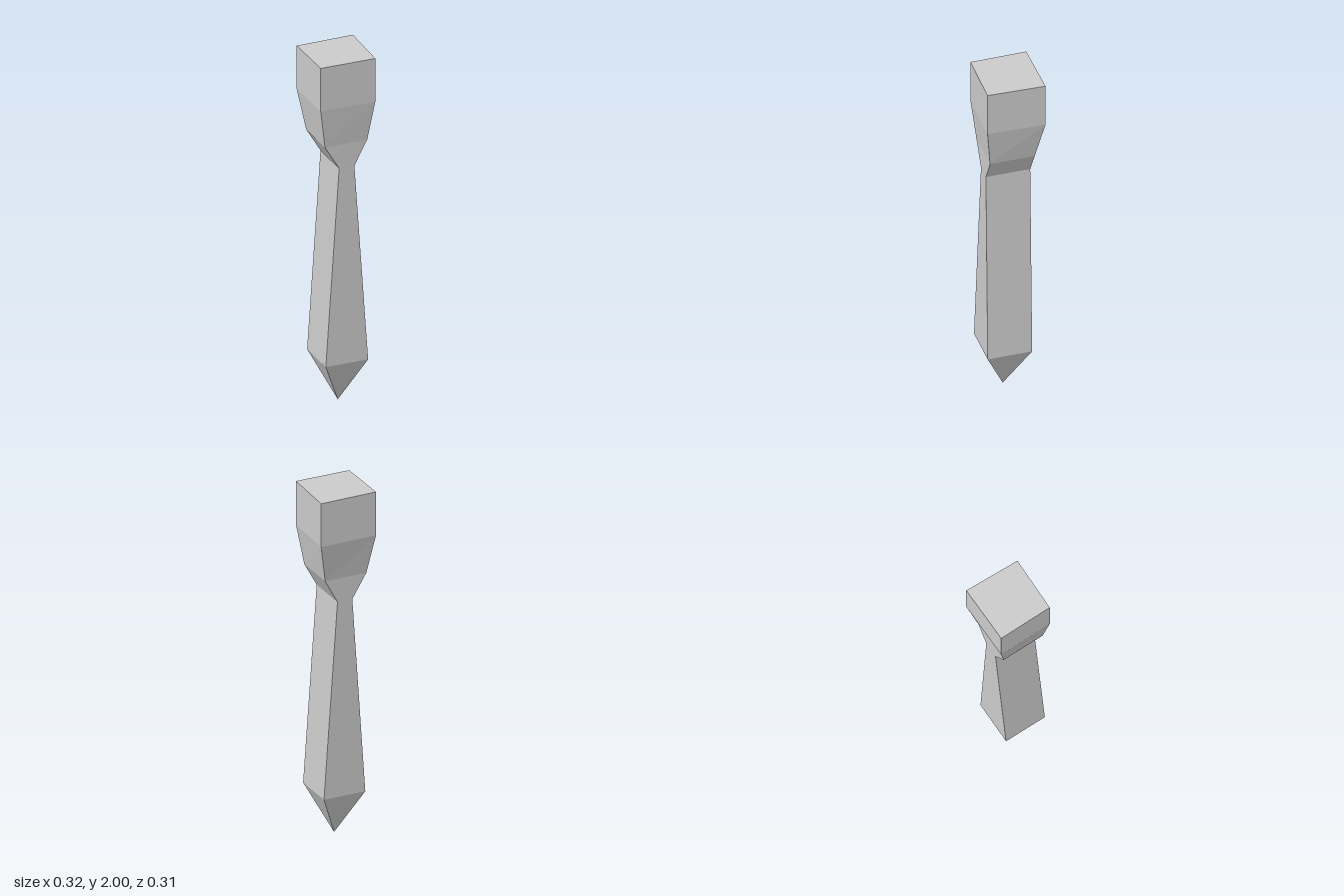
import * as THREE from 'three';

// Four corners, counter-clockwise from above, starting at the front -x corner
const rect = (y, x0, x1, z0, z1) => [[x0, y, z1], [x1, y, z1], [x1, y, z0], [x0, y, z0]];

// Slightly skewed square used for the block at the top
const block = (y) => [[-0.16, y, 0.153], [0.151, y, 0.156], [0.161, y, -0.159], [-0.163, y, -0.154]];

// Flat-sided skin through rings listed from bottom to top
function loft(name, rings, capTop = false) {
  const pos = [];
  const tri = (...corners) => corners.forEach((c) => pos.push(...c));
  for (let r = 0; r < rings.length - 1; r++) {
    const low = rings[r], high = rings[r + 1];
    for (let i = 0; i < 4; i++) {
      const j = (i + 1) % 4;
      // A one-point ring makes a pointed end
      if (low.length === 1) tri(low[0], high[j], high[i]);
      else {
        tri(low[i], low[j], high[j]);
        tri(low[i], high[j], high[i]);
      }
    }
  }
  if (capTop) {
    const [a, b, c, d] = rings[rings.length - 1];
    tri(a, b, c);
    tri(a, c, d);
  }
  const geometry = new THREE.BufferGeometry();
  geometry.setAttribute('position', new THREE.Float32BufferAttribute(pos, 3));
  geometry.computeVertexNormals();
  const mesh = new THREE.Mesh(geometry, new THREE.MeshStandardMaterial({ color: 0xcccccc, flatShading: true }));
  mesh.name = name;
  return mesh;
}

export function createModel() {
  const group = new THREE.Group();
  group.name = 'spike';

  const point = [[-0.006, 0, 0.024]];
  const shaftFoot = rect(0.26, -0.127, 0.115, -0.1, 0.144);
  const waist = rect(1.39, -0.045, 0.042, -0.112, 0.131);
  const shoulder = rect(1.525, -0.126, 0.115, -0.114, 0.131);

  group.add(
    loft('tip', [point, shaftFoot]),
    loft('shaft', [shaftFoot, waist]),
    loft('neck', [waist, shoulder]),
    loft('head', [shoulder, block(1.75), block(2)], true),
  );
  return group;
}
